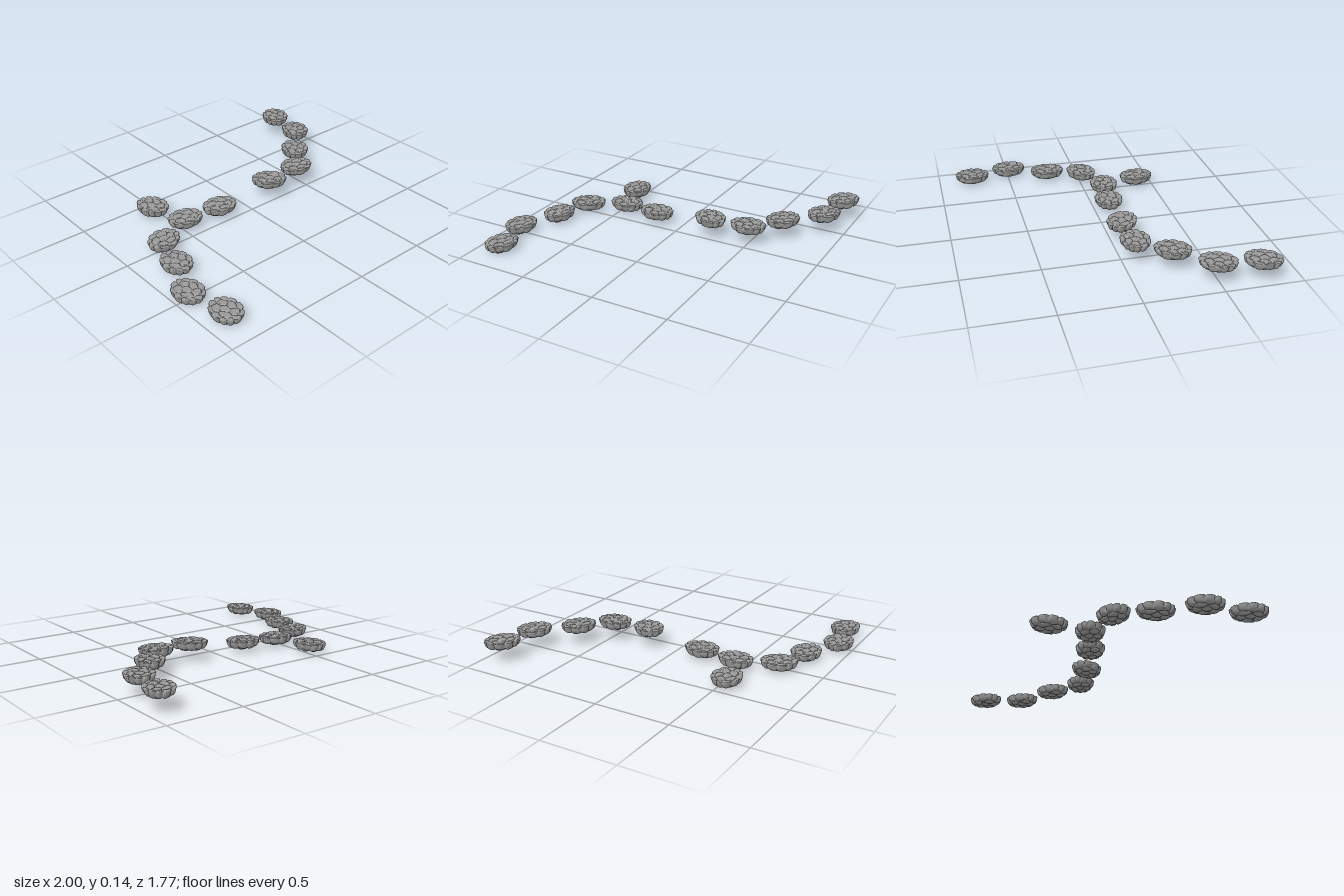
import * as THREE from 'three';
import { mergeVertices } from 'three/addons/utils/BufferGeometryUtils.js';

// Cell centres in plan: a middle cell, an inner ring and a ring of rim lobes
function cellSeeds() {
  const seeds = [new THREE.Vector2(0.05, -0.04)];
  for (const [count, radius, phase] of [[5, 0.52, 0.3], [11, 0.98, 0.1]]) {
    for (let i = 0; i < count; i++) {
      const a = phase + (i + 0.25 * Math.sin(i * 5.3 + phase)) / count * Math.PI * 2;
      const r = radius * (1 + 0.06 * Math.sin(i * 3.7));
      seeds.push(new THREE.Vector2(Math.cos(a) * r, Math.sin(a) * r));
    }
  }
  return seeds;
}

// Flat-topped stone with steep sides and a rounded belly, split by cracks into lobes
function stoneGeometry() {
  const path = new THREE.Path();
  path.moveTo(0, -0.5);
  path.lineTo(0.5, -0.48);
  path.bezierCurveTo(0.82, -0.46, 0.94, -0.34, 0.98, -0.08);
  path.quadraticCurveTo(1.01, -0.01, 0.97, 0);
  path.lineTo(0, 0);
  const points = path.getSpacedPoints(54);
  points[0].x = 0;
  points[54].x = 0;

  let geo = new THREE.LatheGeometry(points, 96);
  const pos = geo.attributes.position;
  const nor = geo.attributes.normal;
  const seeds = cellSeeds();
  const p = new THREE.Vector3();
  const n = new THREE.Vector3();
  const plan = new THREE.Vector2();
  for (let i = 0; i < pos.count; i++) {
    p.fromBufferAttribute(pos, i);
    n.fromBufferAttribute(nor, i);
    // Cells shift a little with depth so the side cracks wander
    plan.set(p.x + 0.06 * Math.sin(p.y * 9), p.z + 0.06 * Math.sin(p.y * 7));
    // Gap between the two nearest cells is zero along a crack
    const [near, next] = seeds.map((s) => s.distanceTo(plan)).sort((a, b) => a - b);
    const gap = next - near;
    const crack = Math.max(0, 1 - gap / 0.08);
    const lump = Math.max(0, 1 - gap / 0.36) ** 2;
    // The top stays flat, the belly bulges and the rim is scalloped
    const onTop = p.y > -0.02 && n.y > 0.6;
    const rim = THREE.MathUtils.smoothstep(Math.hypot(p.x, p.z), 0.6, 1);
    const scallop = 1 - 0.12 * lump * rim;
    p.addScaledVector(n, onTop ? -0.07 * crack : -0.04 * crack - 0.1 * lump * (1 - rim));
    pos.setXYZ(i, p.x * scallop, p.y, p.z * scallop);
  }
  geo.deleteAttribute('uv');
  geo.deleteAttribute('normal');
  geo = mergeVertices(geo, 1e-4);
  geo.computeVertexNormals();
  return geo;
}

export function createModel() {
  const group = new THREE.Group();
  group.name = 'steppingStones';
  const material = new THREE.MeshStandardMaterial({ color: 0x999999 });
  const geometry = stoneGeometry();

  // x, height of top, z, turn in degrees
  const upperPath = [
    [0.895, 0.14, -0.77, 62], [0.855, 0.138, -0.5, 62], [0.65, 0.136, -0.285, 58],
    [0.485, 0.134, -0.095, 0], [0.22, 0.132, -0.08, -35],
  ];
  const lowerPath = [
    [-0.20, 0.08, -0.1, -5], [-0.46, 0.075, -0.13, -8], [-0.71, 0.07, -0.02, 25],
    [-0.79, 0.068, 0.22, 85], [-0.907, 0.065, 0.49, 88], [-0.85, 0.062, 0.765, 85],
  ];
  const sideBranch = [[-0.535, 0.073, -0.39, 97]];

  for (const [name, stones] of Object.entries({ upperPath, lowerPath, sideBranch })) {
    const part = new THREE.Group();
    part.name = name;
    stones.forEach(([x, y, z, turn], i) => {
      const stone = new THREE.Mesh(geometry, material);
      stone.name = `${name}Stone${i + 1}`;
      stone.scale.set(0.12, 0.12, 0.096);
      stone.position.set(x, y, z);
      stone.rotation.y = THREE.MathUtils.degToRad(turn);
      part.add(stone);
    });
    group.add(part);
  }
  return group;
}
